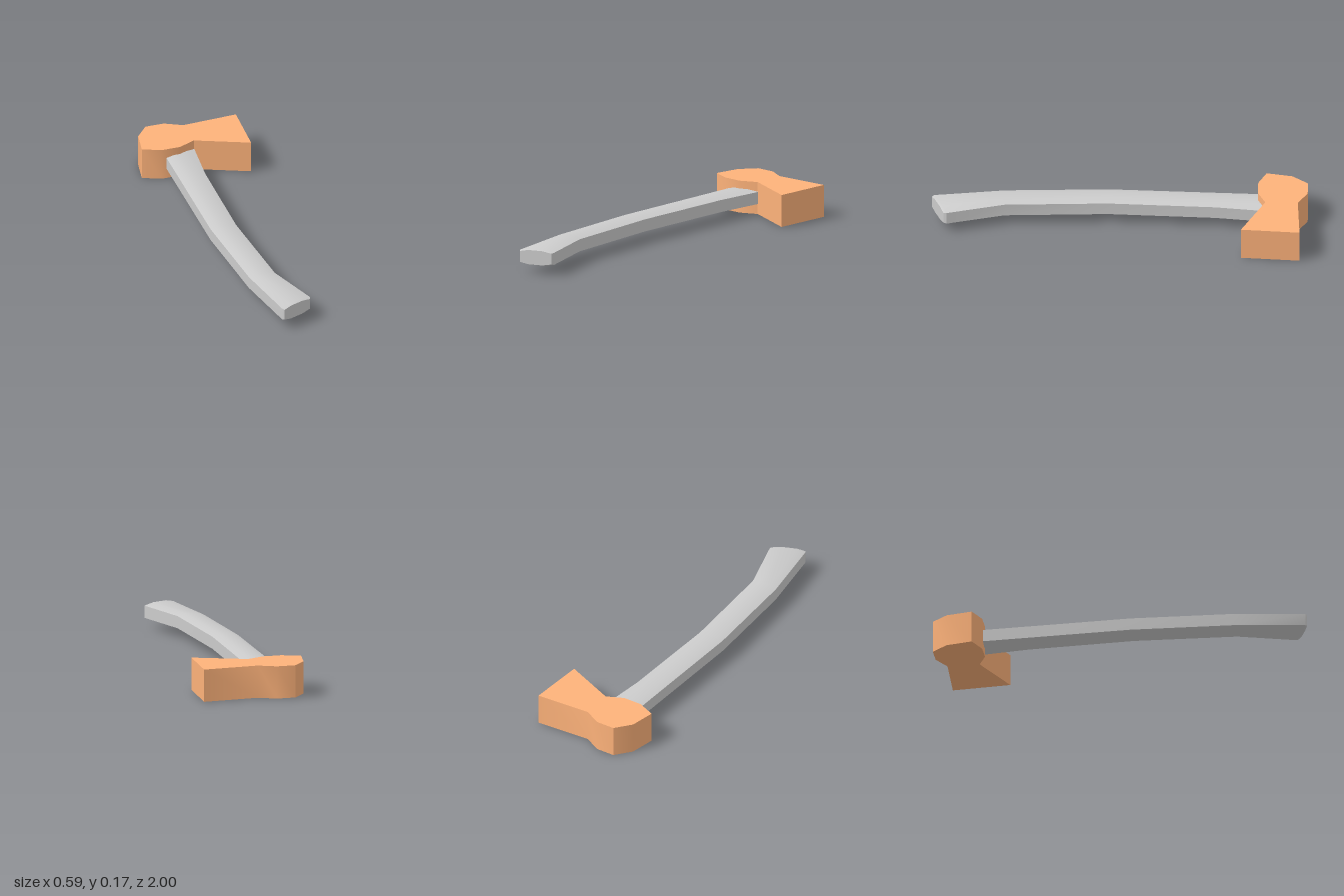
import * as THREE from 'three';
import { toCreasedNormals } from 'three/addons/utils/BufferGeometryUtils.js';

const CREASE = 0.65;

// Axe head: flat outline seen from above, extruded upwards
function makeHead() {
  const outline = [
    [-0.297, -0.777], [-0.2, -0.735], [-0.097, -0.735], [-0.005, -0.777], [0.275, -0.655],
    [0.297, -0.967], [-0.005, -0.95], [-0.097, -1], [-0.2, -1], [-0.27, -0.915],
  ];
  const shape = new THREE.Shape(outline.map(([x, z]) => new THREE.Vector2(x, -z)));
  const geo = new THREE.ExtrudeGeometry(shape, { depth: 0.175, bevelEnabled: false });
  geo.rotateX(-Math.PI / 2);
  return toCreasedNormals(geo, CREASE);
}

// Handle: eight-sided section lofted along a curved path
function makeHandle() {
  // across (0 left, 1 right) and height from the middle
  const section = [
    [0, -0.033], [0.25, -0.0435], [0.7, -0.0435], [1, -0.033],
    [1, 0.033], [0.7, 0.0435], [0.25, 0.0435], [0, 0.033],
  ];
  // left x, left z, right x, right z, height scale
  const stations = [
    [-0.108, 0.997, 0.056, 0.931, 0.9],
    [-0.118, 0.985, 0.062, 0.915, 1],
    [-0.175, 0.61, -0.03, 0.61, 1],
    [-0.2, 0.06, -0.057, 0.06, 1],
    [-0.18, -0.51, -0.033, -0.51, 1],
    [-0.17, -0.82, 0.003, -0.82, 1],
  ];
  const pos = [], index = [], n = section.length, last = (stations.length - 1) * n;
  for (const [lx, lz, rx, rz, s] of stations)
    for (const [u, h] of section) pos.push(lx + (rx - lx) * u, 0.0885 + h * s, lz + (rz - lz) * u);
  for (let i = 0; i < stations.length - 1; i++)
    for (let j = 0; j < n; j++) {
      const a = i * n + j, b = i * n + (j + 1) % n;
      index.push(a, a + n, b + n, a, b + n, b);
    }
  // end caps
  for (let j = 1; j < n - 1; j++) index.push(0, j, j + 1, last, last + j + 1, last + j);
  const geo = new THREE.BufferGeometry();
  geo.setAttribute('position', new THREE.Float32BufferAttribute(pos, 3));
  geo.setIndex(index);
  return toCreasedNormals(geo, CREASE);
}

export function createModel() {
  const group = new THREE.Group();
  group.name = 'axe';
  const add = (name, geo, color) => {
    const mesh = new THREE.Mesh(geo, new THREE.MeshStandardMaterial({ color }));
    mesh.name = name;
    group.add(mesh);
  };
  add('head', makeHead(), 0xfdb27a);
  add('handle', makeHandle(), 0xcccccc);
  return group;
}
